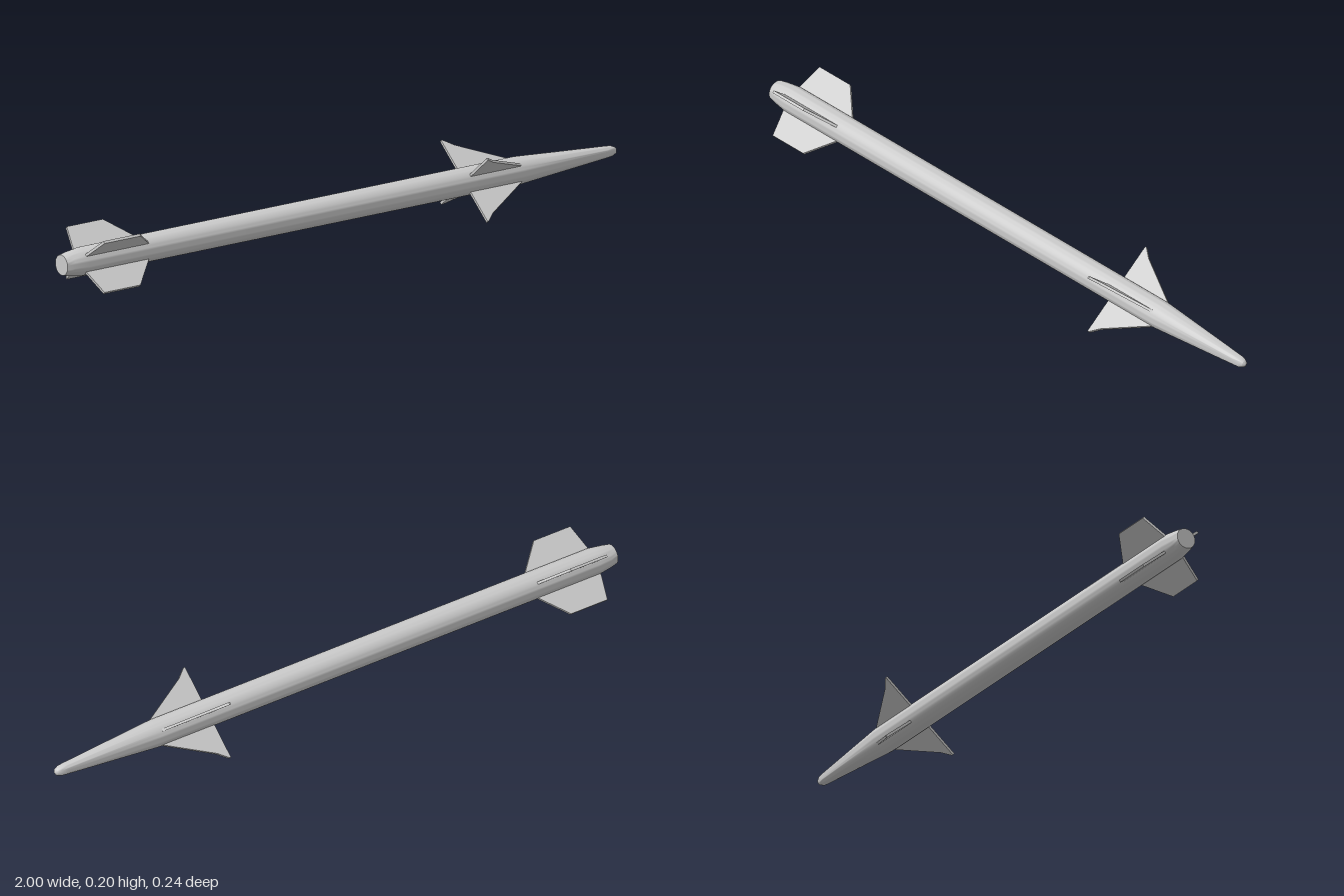
import * as THREE from 'three';
import { toCreasedNormals } from 'three/addons/utils/BufferGeometryUtils.js';

const AXIS_Y = 0.098;     // height of the body axis
const FIN_THICK = 0.008;
const FIN_TILT = 0.882;   // fin lean from vertical, radians

export function createModel() {
  const group = new THREE.Group();
  const material = new THREE.MeshStandardMaterial({ color: 0xcccccc });

  // Body: [radius, x] profile from tail cap to rounded nose
  const profile = [
    [0, -1], [0.031, -1], [0.036, -0.975], [0.042, -0.93], [0.042, 0.64],
    [0.018, 0.96], [0.016, 0.98], [0.01, 0.994], [0, 1],
  ].map(([r, x]) => new THREE.Vector2(r, x));
  const bodyGeometry = toCreasedNormals(new THREE.LatheGeometry(profile, 40), 0.7);
  bodyGeometry.rotateZ(-Math.PI / 2);
  const body = new THREE.Mesh(bodyGeometry, material);
  body.name = 'body';
  body.position.y = AXIS_Y;
  group.add(body);

  // Four flat fins in a cross; outline is [x, distance from axis]
  function addFins(name, outline) {
    const shape = new THREE.Shape(outline.map(([x, r]) => new THREE.Vector2(x, r)));
    const geometry = new THREE.ExtrudeGeometry(shape, { depth: FIN_THICK, bevelEnabled: false });
    geometry.translate(0, 0, -FIN_THICK / 2);
    const set = new THREE.Group();
    set.name = name + 's';
    set.position.y = AXIS_Y;
    for (const angle of [FIN_TILT, Math.PI - FIN_TILT, Math.PI + FIN_TILT, -FIN_TILT]) {
      const fin = new THREE.Mesh(geometry, material);
      fin.name = name;
      fin.rotation.x = angle;
      set.add(fin);
    }
    group.add(set);
  }

  // Tail fins: clipped trapezoids
  addFins('tailFin', [
    [-0.935, 0.03], [-0.71, 0.03], [-0.71, 0.042], [-0.785, 0.122], [-0.915, 0.122], [-0.935, 0.042],
  ]);

  // Forward fins: swept, with a kinked leading edge
  addFins('forwardFin', [
    [0.45, 0.03], [0.635, 0.03], [0.635, 0.042], [0.485, 0.125], [0.455, 0.15], [0.45, 0.15],
  ]);

  return group;
}
